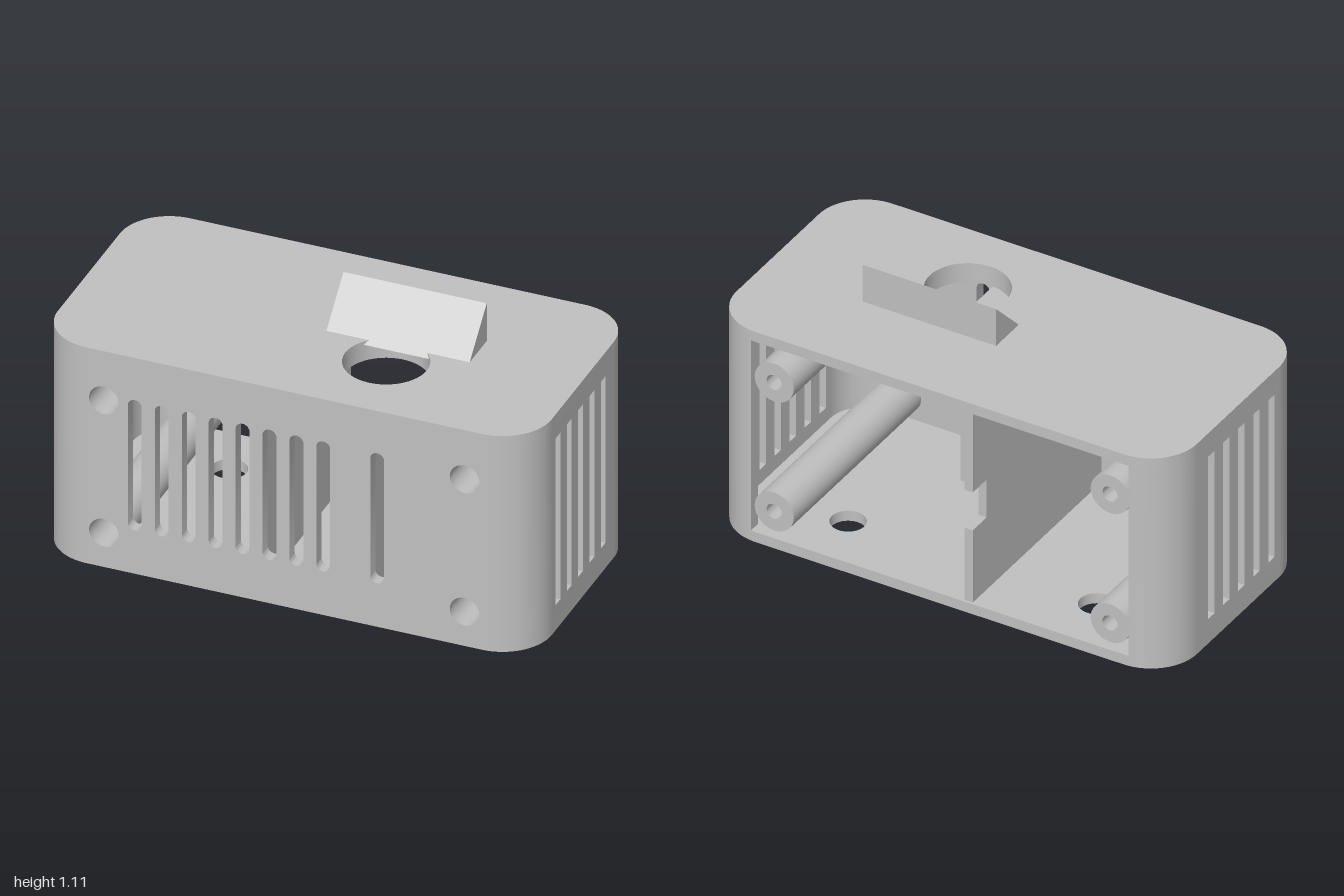
import * as THREE from 'three';
import { toCreasedNormals } from 'three/addons/utils/BufferGeometryUtils.js';

const W = 1, D = 0.5, R = 0.2;          // half width, half depth, corner radius
const H = 0.945, PLATE = 0.045, T = 0.05; // height, plate and wall thickness
const FLAT_X = W - R, FLAT_Z = D - R;
const POST_X = 0.73, POST_Y = [0.15, 0.73];

export function createModel() {
  const model = new THREE.Group();
  const plastic = new THREE.MeshStandardMaterial({ color: 0xc0c0c0 });

  const add = (name, geometry) => {
    const mesh = new THREE.Mesh(toCreasedNormals(geometry, 0.6), plastic);
    mesh.name = name;
    model.add(mesh);
    return mesh;
  };
  const extrude = (shape, depth) =>
    new THREE.ExtrudeGeometry(shape, { depth, bevelEnabled: false, curveSegments: 24 });
  // Plan shapes are drawn in (x, -z) and rise along y
  const plan = (shape, depth, y) => extrude(shape, depth).rotateX(-Math.PI / 2).translate(0, y, 0);
  // Side shapes are drawn in (-z, y) and run along x
  const side = (shape, depth, x) => extrude(shape, depth).rotateY(Math.PI / 2).translate(x, 0, 0);

  const polygon = (points) => new THREE.Shape(points.map(([a, b]) => new THREE.Vector2(a, b)));
  const rect = (x0, y0, x1, y1) => polygon([[x0, y0], [x1, y0], [x1, y1], [x0, y1]]);
  const circle = (x, y, r) => new THREE.Shape().absarc(x, y, r, 0, Math.PI * 2, false);
  const slot = (x, y0, y1, r) => new THREE.Shape()
    .absarc(x, y1 - r, r, 0, Math.PI, false)
    .absarc(x, y0 + r, r, Math.PI, Math.PI * 2, false);
  const roundedPlan = () => {
    const s = new THREE.Shape();
    [[1, 1], [-1, 1], [-1, -1], [1, -1]].forEach(([sx, sv], k) =>
      s.absarc(sx * FLAT_X, sv * FLAT_Z, R, k * Math.PI / 2, (k + 1) * Math.PI / 2, false));
    return s;
  };

  // Floor with two mounting holes
  const floor = roundedPlan();
  for (const x of [-0.54, 0.54]) floor.holes.push(circle(x, 0.26, 0.07));
  add('floor', plan(floor, PLATE, 0));

  // Top plate with the round opening and its collar underneath
  const top = roundedPlan();
  top.holes.push(circle(0.27, -0.16, 0.165));
  add('topPlate', plan(top, PLATE, H - PLATE));
  const collar = circle(0.27, -0.16, 0.22);
  collar.holes.push(circle(0.27, -0.16, 0.165));
  add('openingCollar', plan(collar, 0.04, H - PLATE - 0.04));

  // Front wall with vent slots and screw holes
  const front = rect(-FLAT_X, PLATE, FLAT_X, H - PLATE);
  for (let i = 0; i < 10; i++) {
    if (i !== 8) front.holes.push(slot(-0.605 + i * 0.109, 0.19, 0.76, 0.028));
  }
  for (const x of [-POST_X, POST_X])
    for (const y of POST_Y) front.holes.push(circle(x, y, 0.06));
  add('frontWall', extrude(front, T).translate(0, 0, D - T));

  // Side walls with straight vents
  for (const [name, x] of [['leftWall', W - T], ['rightWall', -W]]) {
    const wall = rect(-FLAT_Z, PLATE, FLAT_Z, H - PLATE);
    for (let i = 0; i < 5; i++) {
      const u = -0.243 + i * 0.1095;
      wall.holes.push(rect(u - 0.023, 0.11, u + 0.023, 0.84));
    }
    add(name, side(wall, T, x));
  }

  // Rounded corners; the rear pair stops at the open back
  [[1, 1], [-1, 1], [-1, -1], [1, -1]].forEach(([sx, sv], k) => {
    const a = k * Math.PI / 2, b = a + Math.PI / 2;
    const trim = (r) => Math.asin(0.02 / r);
    const from = (r) => (k === 1 ? a + trim(r) : a);
    const to = (r) => (k === 0 ? b - trim(r) : b);
    const cx = sx * FLAT_X, cv = sv * FLAT_Z, r = R - T;
    const corner = new THREE.Shape()
      .absarc(cx, cv, R, from(R), to(R), false)
      .absarc(cx, cv, r, to(r), from(r), true);
    add(sv > 0 ? 'rearCorner' : 'frontCorner', plan(corner, H - 2 * PLATE, PLATE));
  });

  // Hollow screw posts, wide bore at the front and narrow at the back
  const postProfile = [
    [0.033, -0.48], [0.085, -0.48], [0.085, D - T], [0.06, D - T],
    [0.06, -0.38], [0.033, -0.38], [0.033, -0.48],
  ].map(([r, z]) => new THREE.Vector2(r, z));
  for (const x of [-POST_X, POST_X])
    for (const y of POST_Y)
      add('screwPost', new THREE.LatheGeometry(postProfile, 40).rotateX(Math.PI / 2).translate(x, y, 0));

  // Inner divider with a cable notch in its rear edge
  const divider = polygon([
    [T - D, PLATE], [0.49, PLATE], [0.49, 0.37], [0.39, 0.37],
    [0.39, 0.54], [0.49, 0.54], [0.49, H - PLATE], [T - D, H - PLATE],
  ]);
  add('divider', side(divider, 0.036, -0.139));

  // Support column behind the front wall, under the opening
  add('supportColumn', side(rect(T - D, PLATE, -0.19, 0.78), 0.1, 0.22));

  // Sloped hood behind the opening
  add('hood', side(polygon([[-0.06, 0.93], [0.12, 0.93], [0.12, 1.11]]), 0.58, -0.02));

  return model;
}
